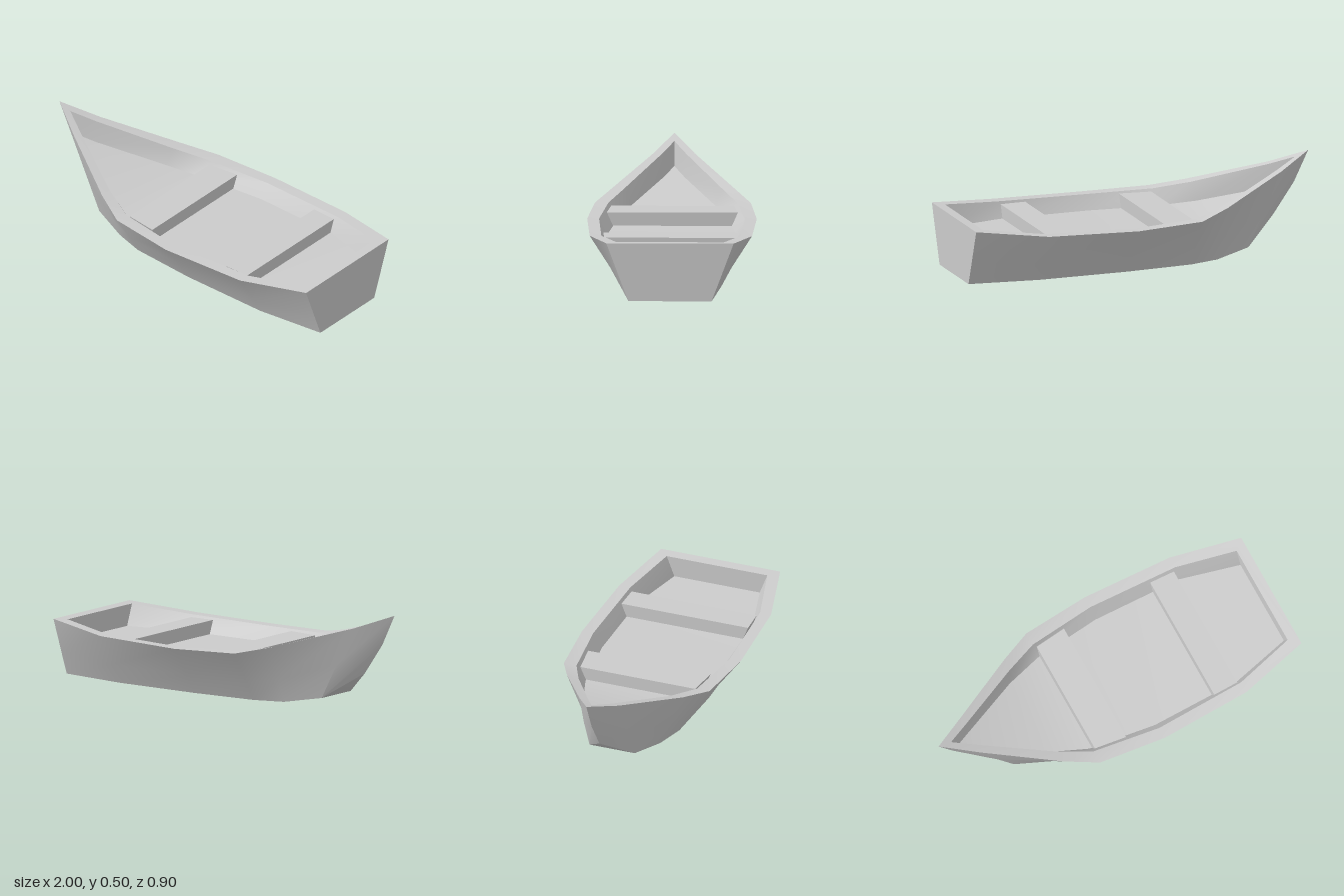
import * as THREE from 'three';
import { toCreasedNormals } from 'three/addons/utils/BufferGeometryUtils.js';

// Half sections from bow to stern, each point [x, y, half width]
const outer = [ // rim, side, chine
  [[-1, 0.5, 0], [-0.92, 0.335, 0], [-0.805, 0.17, 0]],
  [[-0.81, 0.427, 0.11], [-0.71, 0.222, 0.124], [-0.615, 0.034, 0.128]],
  [[-0.425, 0.314, 0.328], [-0.42, 0.13, 0.25], [-0.415, 0.001, 0.195]],
  [[-0.25, 0.275, 0.413], [-0.25, 0.105, 0.303], [-0.25, 0, 0.242]],
  [[0.12, 0.265, 0.449], [0.12, 0.105, 0.327], [0.12, 0, 0.266]],
  [[0.62, 0.275, 0.43], [0.62, 0.105, 0.322], [0.62, 0, 0.266]],
  [[1, 0.312, 0.337], [1, 0.13, 0.269], [1, 0, 0.22]],
];
const inner = [ // inner rim, floor edge
  [[-0.925, 0.47, 0], [-0.9, 0.34, 0]],
  [[-0.8, 0.425, 0.066], [-0.79, 0.3, 0.058]],
  [[-0.435, 0.314, 0.259], [-0.45, 0.217, 0.225]],
  [[-0.25, 0.275, 0.341], [-0.25, 0.192, 0.29]],
  [[0.12, 0.265, 0.386], [0.12, 0.188, 0.336]],
  [[0.62, 0.275, 0.368], [0.62, 0.19, 0.326]],
  [[0.945, 0.308, 0.285], [0.945, 0.194, 0.242]],
];
const mirror = ([x, y, z]) => [x, y, -z];
const material = new THREE.MeshStandardMaterial({ color: 0xcccccc });

// Collects polygons as triangle fans, skipping collapsed triangles
function polygonMesh(name, polygons) {
  const positions = [];
  for (const p of polygons) {
    for (let i = 1; i < p.length - 1; i++) {
      const tri = [p[0], p[i], p[i + 1]].map((v) => new THREE.Vector3(...v));
      if (new THREE.Triangle(...tri).getArea() > 1e-7) tri.forEach((v) => positions.push(v.x, v.y, v.z));
    }
  }
  const geometry = new THREE.BufferGeometry();
  geometry.setAttribute('position', new THREE.Float32BufferAttribute(positions, 3));
  const mesh = new THREE.Mesh(toCreasedNormals(geometry, 0.6), material);
  mesh.name = name;
  return mesh;
}

function createHull() {
  // Closed section loops: down the outside, across the bottom, back along the inside
  const loops = outer.map((o, i) => {
    const [rim, floor] = inner[i];
    return [...o, ...[...o].reverse().map(mirror), mirror(rim), mirror(floor), floor, rim];
  });
  const polygons = [];
  for (let i = 0; i < loops.length - 1; i++) {
    const a = loops[i], b = loops[i + 1], n = a.length;
    for (let j = 0; j < n; j++) {
      const k = (j + 1) % n;
      polygons.push([a[j], a[k], b[j]], [b[j], a[k], b[k]]);
    }
  }
  // Transom: outer face, top and inner face
  const s = loops[loops.length - 1];
  polygons.push(s.slice(0, 6), [s[0], s[5], s[6], s[9]], [s[9], s[6], s[7], s[8]]);
  return polygonMesh('hull', polygons);
}

// Half width of the inside wall at x, t = 0 at the floor and 1 at the rim
function wallWidth(x, t) {
  const i = inner.findIndex((s) => s[0][0] > x);
  const [rimA, floorA] = inner[i - 1], [rimB, floorB] = inner[i];
  const u = (x - rimA[0]) / (rimB[0] - rimA[0]);
  const { lerp } = THREE.MathUtils;
  return lerp(lerp(floorA[2], floorB[2], u), lerp(rimA[2], rimB[2], u), t);
}

// Bench spanning the hull, solid down to the floor
function createSeat(name, x0, x1) {
  const top = 0.262, bottom = 0.187;
  const [a, b] = [x0, x1].map((x) => [x, top, wallWidth(x, 0.66)]);
  const [c, d] = [x0, x1].map((x) => [x, bottom, wallWidth(x, 0)]);
  const [A, B, C, D] = [a, b, c, d].map(mirror);
  return polygonMesh(name, [
    [a, b, B, A], [c, C, D, d], // top, underside
    [a, A, C, c], [b, d, D, B], // bow side, stern side
    [a, c, d, b], [A, B, D, C], // ends
  ]);
}

export function createModel() {
  const boat = new THREE.Group();
  boat.name = 'rowingBoat';
  boat.add(createHull(), createSeat('frontSeat', -0.235, -0.06), createSeat('rearSeat', 0.465, 0.605));
  return boat;
}
